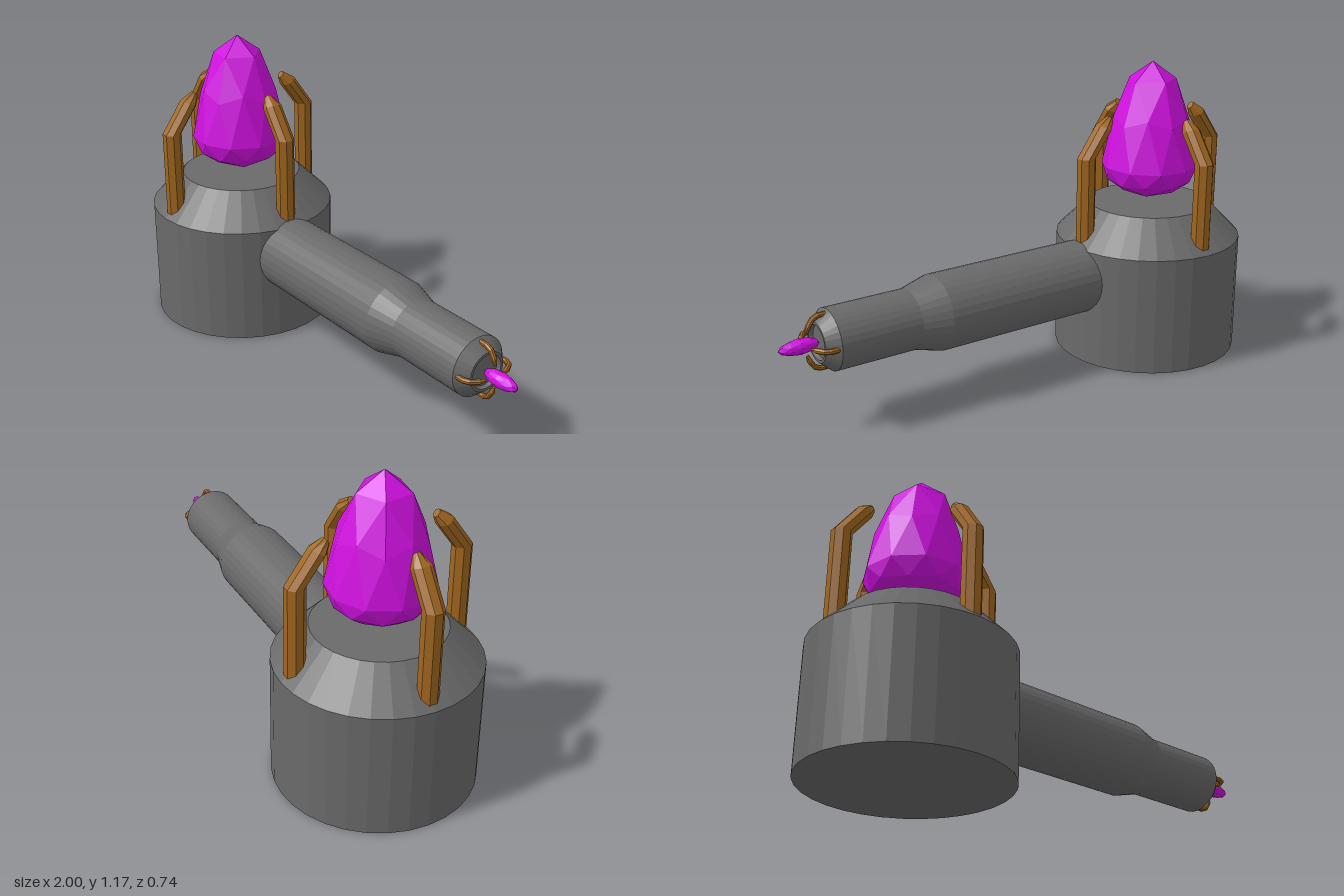
import * as THREE from 'three';

const mat = (color) => new THREE.MeshStandardMaterial({ color, flatShading: true });
const metal = mat(0x6a6a6a), bronze = mat(0xa0661f), gem = mat(0xd010e0);

function mesh(name, geometry, material) {
  const m = new THREE.Mesh(geometry, material);
  m.name = name;
  return m;
}

// Turned body from [radius, height] pairs
const turned = (points) =>
  new THREE.LatheGeometry(points.map(([r, y]) => new THREE.Vector2(r, y)), 32);

// Octagonal bar through sections [outer r, outer y, inner r, inner y, half width]
function clawGeometry(sections) {
  const N = 8, pos = [], idx = [], k = 1 / Math.cos(Math.PI / N);
  for (const [ro, yo, ri, yi, w] of sections) {
    for (let i = 0; i < N; i++) {
      const a = ((i + 0.5) / N) * Math.PI * 2;
      const c = Math.cos(a) * k * 0.5, s = Math.sin(a) * k;
      pos.push((ro + ri) / 2 + c * (ro - ri), (yo + yi) / 2 + c * (yo - yi), s * w);
    }
  }
  const last = (sections.length - 1) * N;
  for (let j = 0; j < last; j += N) {
    for (let i = 0; i < N; i++) {
      const a = j + i, b = j + ((i + 1) % N);
      idx.push(a, a + N, b, b, a + N, b + N);
    }
  }
  // End caps
  for (let i = 1; i < N - 1; i++) {
    idx.push(0, i, i + 1, last, last + i + 1, last + i);
  }
  const g = new THREE.BufferGeometry();
  g.setAttribute('position', new THREE.Float32BufferAttribute(pos, 3));
  g.setIndex(idx);
  g.computeVertexNormals();
  return g;
}

// Four claws around the vertical axis
function clawRing(name, sections) {
  const ring = new THREE.Group();
  ring.name = name;
  const g = clawGeometry(sections);
  for (let i = 0; i < 4; i++) {
    const claw = mesh('claw', g, bronze);
    claw.rotation.y = (i * Math.PI) / 2;
    ring.add(claw);
  }
  return ring;
}

// Faceted crystal: an upright icosphere with separate upper and lower heights
function crystalGeometry(radius, waist, up, down, slim) {
  const g = new THREE.IcosahedronGeometry(1, 1);
  g.rotateZ(-Math.atan2(1, (1 + Math.sqrt(5)) / 2));
  g.rotateY(0.16);
  const p = g.attributes.position;
  for (let i = 0; i < p.count; i++) {
    const y = p.getY(i);
    const r = radius * (y > 0 ? 1 - slim * y * (1 - y) : 1);
    const h = y > 0 ? up * (0.9 * y + 0.1 * y ** 3) : down * y;
    p.setXYZ(i, p.getX(i) * r, waist + h, p.getZ(i) * r);
  }
  g.computeVertexNormals();
  return g;
}

export function createModel() {
  const model = new THREE.Group();
  model.name = 'crystalDevice';

  // Upright canister with its claws and large crystal
  const canister = new THREE.Group();
  canister.name = 'canister';
  canister.position.x = -0.63;
  canister.add(
    mesh('base', turned([[0, 0], [0.37, 0], [0.37, 0.47], [0.24, 0.6], [0, 0.6]]), metal),
    clawRing('largeClaws', [
      [0.352, 0.46, 0.283, 0.46, 0.035],
      [0.352, 0.825, 0.283, 0.825, 0.035],
      [0.264, 0.948, 0.212, 0.922, 0.035],
      [0.216, 0.978, 0.197, 0.955, 0.013],
    ]),
    mesh('largeCrystal', crystalGeometry(0.192, 0.755, 0.415, 0.13, 0.3), gem),
  );

  // Side barrel, built upright and laid along +x
  const barrel = new THREE.Group();
  barrel.name = 'barrel';
  barrel.position.y = 0.345;
  barrel.rotation.z = -Math.PI / 2;
  barrel.add(
    mesh('barrelBody', turned([
      [0, -0.4], [0.145, -0.4], [0.145, 0.38], [0.115, 0.49], [0.115, 0.81],
      [0.075, 0.855], [0.065, 0.855], [0.06, 0.84], [0, 0.84],
    ]), metal),
    clawRing('smallClaws', [
      [0.109, 0.8, 0.091, 0.8, 0.01],
      [0.109, 0.848, 0.091, 0.845, 0.01],
      [0.098, 0.873, 0.082, 0.862, 0.01],
      [0.068, 0.893, 0.06, 0.876, 0.01],
      [0.045, 0.897, 0.04, 0.887, 0.004],
    ]),
    mesh('smallCrystal', crystalGeometry(0.029, 0.92, 0.08, 0.075, 0.2), gem),
  );

  model.add(canister, barrel);
  return model;
}
